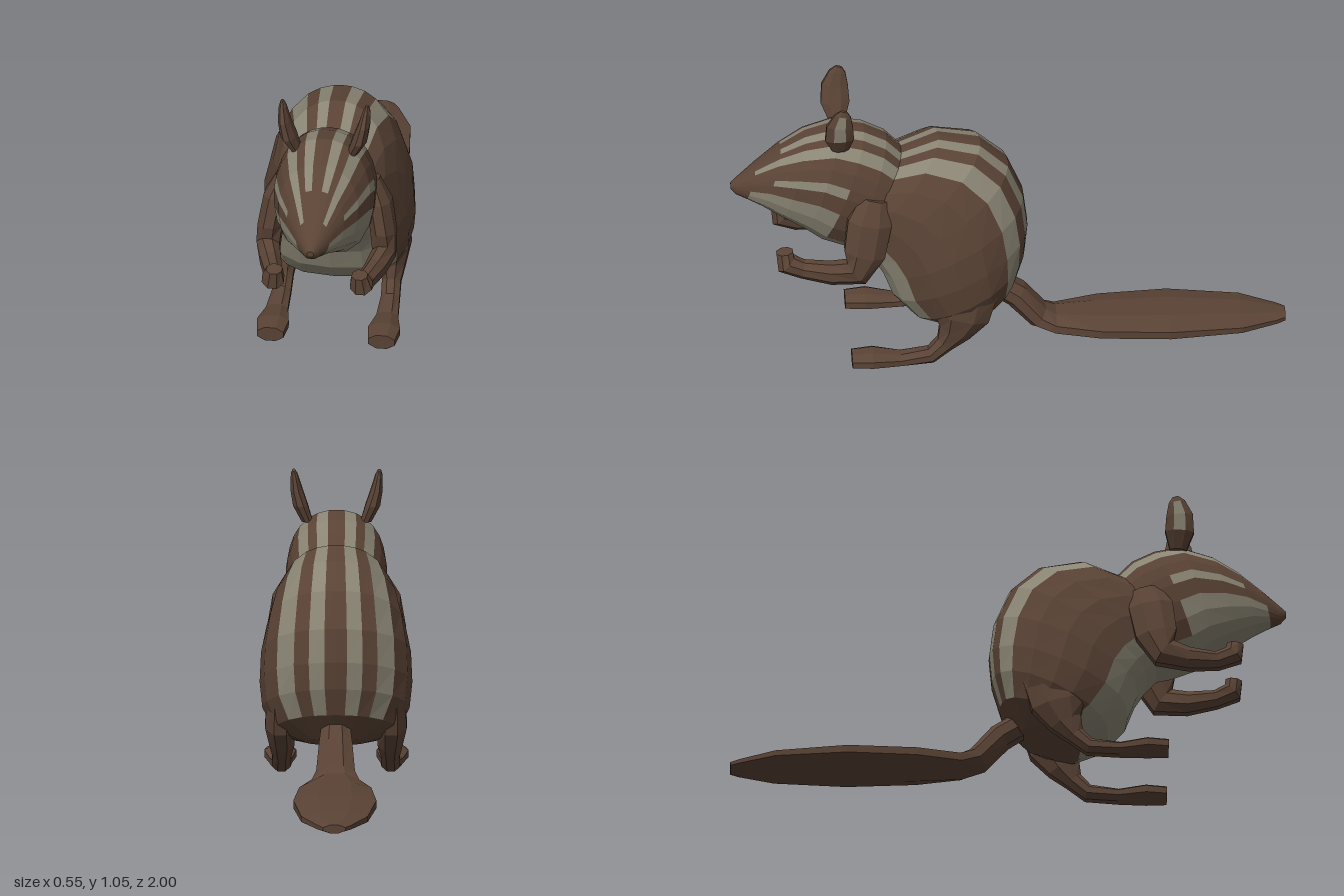
import * as THREE from 'three';

const brown = new THREE.MeshStandardMaterial({ color: 0x5a4335 });
brown.name = 'brownFur';
const cream = new THREE.MeshStandardMaterial({ color: 0x8a8574 });
cream.name = 'paleFur';
const BROWN = 0, CREAM = 1;

// Skin a list of rings with flat faces; paint(segment, angle) picks the colour of each face
function loft(name, rings, angles, paint = () => BROWN) {
  const faces = [[], []];
  const n = angles.length;
  const put = (c, ...pts) => pts.forEach(p => faces[c].push(p.x, p.y, p.z));
  const centre = ring => ring.reduce((s, p) => s.add(p), new THREE.Vector3()).divideScalar(n);
  const first = rings[0], last = rings[rings.length - 1];
  const c0 = centre(first), c1 = centre(last);
  for (let k = 0; k < n; k++) {
    const k2 = (k + 1) % n;
    const mid = (angles[k] + (k2 ? angles[k2] : angles[0] + Math.PI * 2)) / 2;
    for (let i = 0; i < rings.length - 1; i++) {
      const a = rings[i][k], b = rings[i][k2], c = rings[i + 1][k], d = rings[i + 1][k2];
      put(paint(i, mid), a, c, b, b, c, d);
    }
    put(BROWN, c0, first[k], first[k2]);
    put(BROWN, c1, last[k2], last[k]);
  }
  const geo = new THREE.BufferGeometry();
  geo.setAttribute('position', new THREE.Float32BufferAttribute(faces[0].concat(faces[1]), 3));
  geo.addGroup(0, faces[0].length / 3, BROWN);
  geo.addGroup(faces[0].length / 3, faces[1].length / 3, CREAM);
  geo.computeVertexNormals();
  const mesh = new THREE.Mesh(geo, [brown, cream]);
  mesh.name = name;
  return mesh;
}

// Trunk section from [backZ, backY, bellyZ, bellyY, halfWidth]
function section([z0, y0, z1, y1, w], angles) {
  return angles.map(t => {
    const s = Math.sin(t), c = Math.cos(t);
    const power = c < 0 ? 0.65 : 0.9;
    return new THREE.Vector3(
      w * Math.sign(s) * Math.abs(s) ** power,
      (y0 + y1) / 2 + c * (y0 - y1) / 2,
      (z0 + z1) / 2 + c * (z0 - z1) / 2);
  });
}

// Half a set of angles mirrored into a full ring
const mirrored = half => half.concat(half.slice(1, -1).reverse().map(t => Math.PI * 2 - t));

// Colour bands: angles at which pale bands start and end, from the spine down
const inBand = (t, bands) => {
  const a = Math.min(t, Math.PI * 2 - t);
  return bands.some(([from, to]) => a > from && a < to) ? CREAM : BROWN;
};

// Eight sided limb along [x, y, z, halfWidth, halfDepth] points, at side s
const octagon = Array.from({ length: 8 }, (_, k) => (k + 0.5) * Math.PI / 4);
function limb(name, points, s = 1, paint) {
  const centres = points.map(p => new THREE.Vector3(p[0] * s, p[1], p[2]));
  const rings = points.map((p, i) => {
    const from = centres[Math.max(i - 1, 0)], to = centres[Math.min(i + 1, points.length - 1)];
    const normal = new THREE.Vector3(0, to.z - from.z, from.y - to.y).normalize();
    return octagon.map(t => centres[i].clone()
      .addScaledVector(normal, Math.cos(t) * p[4] * 1.08)
      .add(new THREE.Vector3(Math.sin(t) * p[3] * 1.08, 0, 0)));
  });
  return loft(name, rings, octagon, paint);
}

export function createModel() {
  const model = new THREE.Group();
  model.name = 'stripedRodent';

  // Body, from the rump up and forward to the neck
  const bodyAngles = mirrored([0, 0.12, 0.32, 0.54, 0.85, 1.2, 1.6, 1.95, 2.3, 2.6, 2.88, Math.PI]);
  const bodySections = [
    [0.04, 0.17, 0.14, 0.13, 0.11],
    [-0.03, 0.27, 0.26, 0.115, 0.22],
    [-0.06, 0.37, 0.36, 0.16, 0.265],
    [-0.07, 0.47, 0.43, 0.24, 0.275],
    [-0.055, 0.59, 0.465, 0.33, 0.27],
    [0.0, 0.72, 0.5, 0.38, 0.25],
    [0.1, 0.81, 0.54, 0.42, 0.225],
    [0.25, 0.84, 0.58, 0.45, 0.195],
    [0.39, 0.785, 0.62, 0.49, 0.165],
  ];
  model.add(loft('body', bodySections.map(s => section(s, bodyAngles)), bodyAngles, (i, t) =>
    inBand(t, i === 0 ? [] : [[0.12, 0.32], [0.54, 0.85], [2.3, 4]])));

  // Head, from the neck to the nose
  const headAngles = mirrored([0, 0.14, 0.36, 0.56, 0.82, 1.05, 1.3, 1.48, 1.78, 2.1, 2.45, 2.8, Math.PI]);
  const headSections = [
    [0.34, 0.74, 0.48, 0.4, 0.165],
    [0.44, 0.845, 0.59, 0.425, 0.18],
    [0.52, 0.885, 0.68, 0.46, 0.183],
    [0.61, 0.903, 0.74, 0.505, 0.175],
    [0.73, 0.868, 0.82, 0.55, 0.145],
    [0.82, 0.815, 0.89, 0.59, 0.105],
    [0.91, 0.745, 0.945, 0.613, 0.062],
    [0.975, 0.69, 0.98, 0.625, 0.03],
    [1.0, 0.668, 1.0, 0.645, 0.012],
  ];
  const neckBands = [[0.14, 0.36], [0.56, 0.82], [2.45, 4]];
  const faceBands = [[0.14, 0.36], [0.56, 0.82], [1.3, 1.48], [1.78, 4]];
  const muzzleBands = [[0.56, 0.82], [1.78, 4]];
  model.add(loft('head', headSections.map(s => section(s, headAngles)), headAngles, (i, t) =>
    inBand(t, i < 2 ? neckBands : i < 5 ? faceBands : i < 6 ? muzzleBands : [])));

  // Broad flat tail
  model.add(limb('tail', [
    [0, 0.22, 0.06, 0.05, 0.045],
    [0, 0.16, -0.03, 0.06, 0.045],
    [0, 0.07, -0.11, 0.07, 0.042],
    [0, 0.047, -0.17, 0.085, 0.036],
    [0, 0.047, -0.33, 0.13, 0.035],
    [0, 0.046, -0.58, 0.15, 0.034],
    [0, 0.04, -0.84, 0.12, 0.025],
    [0, 0.034, -0.97, 0.06, 0.018],
    [0, 0.033, -1.0, 0.04, 0.015],
  ]));

  for (const [side, s] of [['left', 1], ['right', -1]]) {
    // Ears with a pale patch on the outer face
    model.add(limb(side + 'Ear', [
      [0.105, 0.86, 0.61, 0.02, 0.03],
      [0.13, 0.92, 0.615, 0.027, 0.052],
      [0.145, 0.98, 0.615, 0.021, 0.048],
      [0.152, 1.03, 0.605, 0.013, 0.03],
      [0.154, 1.05, 0.6, 0.006, 0.012],
    ], s, (i, t) => (i > 0 && i < 3 && Math.sin(t) * s > 0.9 ? CREAM : BROWN)));

    // Bent arms ending in raised paws
    model.add(limb(side + 'Arm', [
      [0.155, 0.68, 0.49, 0.03, 0.05],
      [0.185, 0.6, 0.51, 0.045, 0.08],
      [0.205, 0.48, 0.53, 0.045, 0.075],
      [0.21, 0.405, 0.56, 0.042, 0.055],
      [0.19, 0.39, 0.65, 0.038, 0.042],
      [0.165, 0.395, 0.75, 0.033, 0.033],
      [0.16, 0.42, 0.81, 0.04, 0.038],
      [0.155, 0.465, 0.815, 0.028, 0.03],
    ], s));

    // Thighs, ankles and long feet
    model.add(limb(side + 'LegAndFoot', [
      [0.2, 0.3, 0.16, 0.05, 0.11],
      [0.2, 0.2, 0.18, 0.055, 0.1],
      [0.195, 0.13, 0.205, 0.045, 0.06],
      [0.195, 0.08, 0.24, 0.034, 0.034],
      [0.197, 0.035, 0.29, 0.034, 0.03],
      [0.2, 0.024, 0.4, 0.04, 0.024],
      [0.202, 0.032, 0.5, 0.058, 0.031],
      [0.202, 0.03, 0.575, 0.048, 0.028],
    ], s));
  }
  return model;
}
